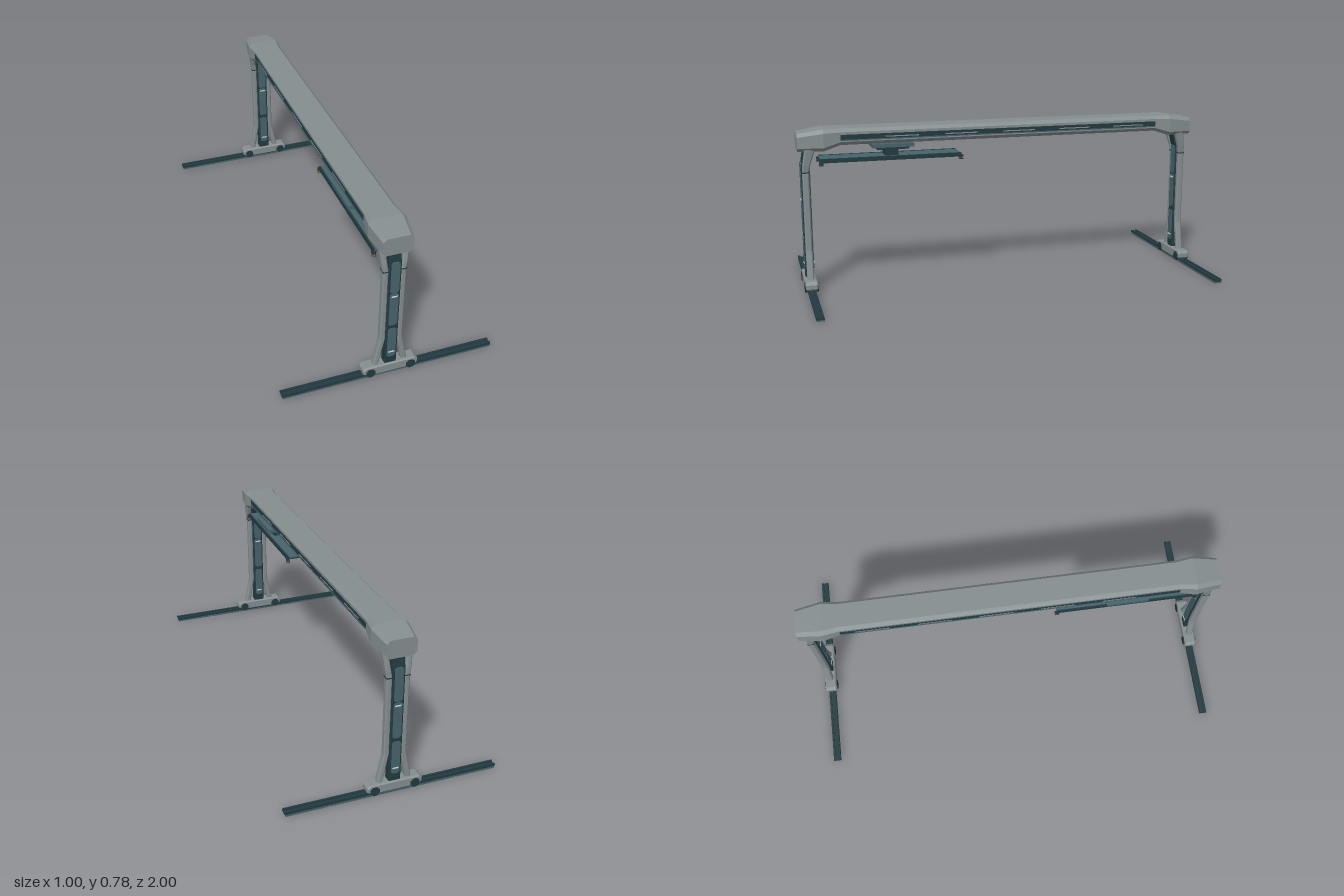
import * as THREE from 'three';

const mat = (name, color, flat = true) => {
  const m = new THREE.MeshStandardMaterial({ color, flatShading: flat });
  m.name = name;
  return m;
};

// Chamfered rectangle, counter-clockwise
function octagon(a, b, c) {
  return [[a, c - b], [a, b - c], [a - c, b], [c - a, b], [-a, b - c], [-a, c - b], [c - a, -b], [a - c, -b]];
}

// Skin a stack of rings and cap both ends
function loft(rings) {
  const pos = [];
  const tri = (a, b, c) => pos.push(...a, ...b, ...c);
  const n = rings[0].length;
  for (let r = 0; r < rings.length - 1; r++) {
    const A = rings[r], B = rings[r + 1];
    for (let i = 0; i < n; i++) {
      const j = (i + 1) % n;
      tri(A[i], A[j], B[j]);
      tri(A[i], B[j], B[i]);
    }
  }
  const first = rings[0], last = rings[rings.length - 1];
  for (let i = 1; i < n - 1; i++) {
    tri(first[0], first[i + 1], first[i]);
    tri(last[0], last[i], last[i + 1]);
  }
  const g = new THREE.BufferGeometry();
  g.setAttribute('position', new THREE.Float32BufferAttribute(pos, 3));
  g.computeVertexNormals();
  return g;
}

export function createModel() {
  const grey = mat('concreteGrey', 0x858e8f);
  const dark = mat('darkSteel', 0x223a40);
  const teal = mat('tealPanel', 0x46636b);
  const light = mat('paleMark', 0xd5dfe0);
  const orange = mat('orangeLamp', 0xa8603c);

  const model = new THREE.Group();
  model.name = 'gantryCrane';

  const add = (parent, name, geo, material, x = 0, y = 0, z = 0) => {
    const m = new THREE.Mesh(geo, material);
    m.name = name;
    m.position.set(x, y, z);
    parent.add(m);
    return m;
  };
  // Box given by its low and high limits
  const box = (parent, name, material, [x0, x1], [y0, y1], [z0, z1]) =>
    add(parent, name, new THREE.BoxGeometry(x1 - x0, y1 - y0, z1 - z0), material,
      (x0 + x1) / 2, (y0 + y1) / 2, (z0 + z1) / 2);

  // Main beam with swollen, tapered ends: z, half width, bottom, top, chamfer
  const half = [[0.8, 0.073, 0.7, 0.778, 0.016], [0.88, 0.085, 0.675, 0.778, 0.018], [1, 0.068, 0.676, 0.76, 0.016]];
  const stations = [...half.map(([z, ...s]) => [-z, ...s]).reverse(), ...half];
  add(model, 'beam', loft(stations.map(([z, w, y0, y1, c]) =>
    octagon(w, (y1 - y0) / 2, c).map(([u, v]) => [u, v + (y0 + y1) / 2, z]))), grey);

  // Cable channel on both sides of the beam
  for (const s of [-1, 1]) {
    const side = (a, b) => (s > 0 ? [a, b] : [-b, -a]);
    box(model, 'beamChannel', dark, side(0.068, 0.0755), [0.722, 0.75], [-0.8, 0.8]);
    box(model, 'channelLedge', teal, side(0.068, 0.078), [0.722, 0.727], [-0.8, 0.8]);
    box(model, 'channelLip', dark, side(0.068, 0.078), [0.745, 0.75], [-0.8, 0.8]);
    for (let k = -1; k < 4; k++) {
      const z = 0.22 - 0.29 * k;
      box(model, 'channelDash', grey, side(0.072, 0.077), [0.733, 0.738], [z - 0.08, z + 0.08]);
    }
  }

  // Trolley hanging under the beam
  const trolley = new THREE.Group();
  trolley.name = 'trolley';
  model.add(trolley);
  box(trolley, 'trolleyPlate', teal, [-0.085, 0.085], [0.682, 0.699], [0.455, 0.655]);
  box(trolley, 'trolleyBase', dark, [-0.07, 0.07], [0.67, 0.682], [0.475, 0.63]);
  box(trolley, 'trolleyNeck', dark, [-0.035, 0.035], [0.632, 0.672], [0.522, 0.588]);
  box(trolley, 'spreaderDeck', teal, [-0.06, 0.06], [0.628, 0.636], [0.22, 0.895]);
  box(trolley, 'spreaderUnderside', dark, [-0.057, 0.057], [0.62, 0.628], [0.225, 0.89]);
  for (const s of [-1, 1]) {
    box(trolley, 'spreaderEdge', dark, [s * 0.06 - 0.004, s * 0.06 + 0.004], [0.618, 0.638], [0.22, 0.895]);
    for (const z of [0.222, 0.893]) {
      box(trolley, 'grip', dark, [s * 0.062 - 0.007, s * 0.062 + 0.007], [0.606, 0.628], [z - 0.01, z + 0.01]);
      box(trolley, 'gripLamp', orange, [s * 0.064 - 0.005, s * 0.064 + 0.005], [0.61, 0.617], [z - 0.012, z + 0.012]);
    }
  }

  // One leg in local coordinates: outside is +z
  function makeLeg() {
    const leg = new THREE.Group();
    leg.name = 'leg';

    // Splayed side rails: y, x, half width, half depth, z
    const path = [
      [0.058, 0.068, 0.0135, 0.016, 0], [0.2, 0.04, 0.013, 0.016, 0], [0.575, 0.04, 0.013, 0.016, 0],
      [0.61, 0.046, 0.013, 0.018, -0.004], [0.685, 0.055, 0.013, 0.024, -0.022],
    ];
    for (const s of [-1, 1]) {
      add(leg, 'legRail', loft(path.map(([y, x, a, b, z]) =>
        octagon(a, b, 0.006).map(([u, v]) => [s * x + u, y, z - v]))), grey);
      box(leg, 'railBand', dark, [s * 0.04 - 0.0135, s * 0.04 + 0.0135], [0.572, 0.577], [-0.0165, 0.0165]);
    }

    // Central column with inset panels on both faces
    const column = [[0.058, 0.02, 0], [0.6, 0.02, 0], [0.685, 0.024, -0.018]];
    add(leg, 'column', loft(column.map(([y, b, z]) =>
      octagon(0.028, b, 0.004).map(([u, v]) => [u, y, z - v]))), dark);
    for (const s of [-1, 1]) {
      for (const [y0, y1] of [[0.1, 0.262], [0.28, 0.455], [0.46, 0.62]]) {
        const h = (y1 - y0) / 2;
        const front = octagon(0.02, h, 0.008);
        const panel = loft([front.map(([u, v]) => [u, v, -0.004]), front.map(([u, v]) => [u, v, 0.004])]);
        add(leg, 'columnPanel', panel, teal, 0, y0 + h, s * 0.019);
      }
      for (const y of [0.128, 0.44])
        box(leg, 'columnMark', light, [-0.014, 0.014], [y - 0.003, y + 0.003], [s * 0.023 - 0.002, s * 0.023 + 0.002]);
    }

    // Bogie and its wheels
    const outline = [[-0.11, 0.016], [0.11, 0.016], [0.13, 0.03], [0.13, 0.05], [0.116, 0.063],
      [-0.116, 0.063], [-0.13, 0.05], [-0.13, 0.03]].map(p => new THREE.Vector2(...p));
    add(leg, 'bogie', new THREE.ExtrudeGeometry(new THREE.Shape(outline),
      { depth: 0.046, bevelThickness: 0.006, bevelSize: 0.005, bevelOffset: -0.005, bevelSegments: 1 }), grey, 0, 0, -0.023);
    for (const s of [-1, 1]) {
      const wheel = new THREE.CylinderGeometry(0.023, 0.023, 0.064, 8);
      wheel.rotateY(Math.PI / 8).rotateX(Math.PI / 2);
      add(leg, 'wheel', wheel, dark, s * 0.095, 0.032, 0);
    }

    // Ground track in segments with a rail on top
    const cuts = [-0.5, -0.3, -0.1, 0.1, 0.3, 0.5];
    for (let i = 0; i < 5; i++)
      box(leg, 'trackSegment', teal, [cuts[i] + 0.003, cuts[i + 1] - 0.003], [0, 0.01], [-0.018, 0.018]);
    box(leg, 'trackTop', dark, [-0.5, 0.5], [0.008, 0.016], [-0.018, 0.018]);
    for (const z of [-0.012, 0.012])
      box(leg, 'trackRail', dark, [-0.5, 0.5], [0.016, 0.021], [z - 0.005, z + 0.005]);
    return leg;
  }

  const frontLeg = makeLeg();
  frontLeg.name = 'frontLeg';
  frontLeg.position.z = 0.965;
  const backLeg = makeLeg();
  backLeg.name = 'backLeg';
  backLeg.position.z = -0.965;
  backLeg.rotation.y = Math.PI;
  model.add(frontLeg, backLeg);

  return model;
}
